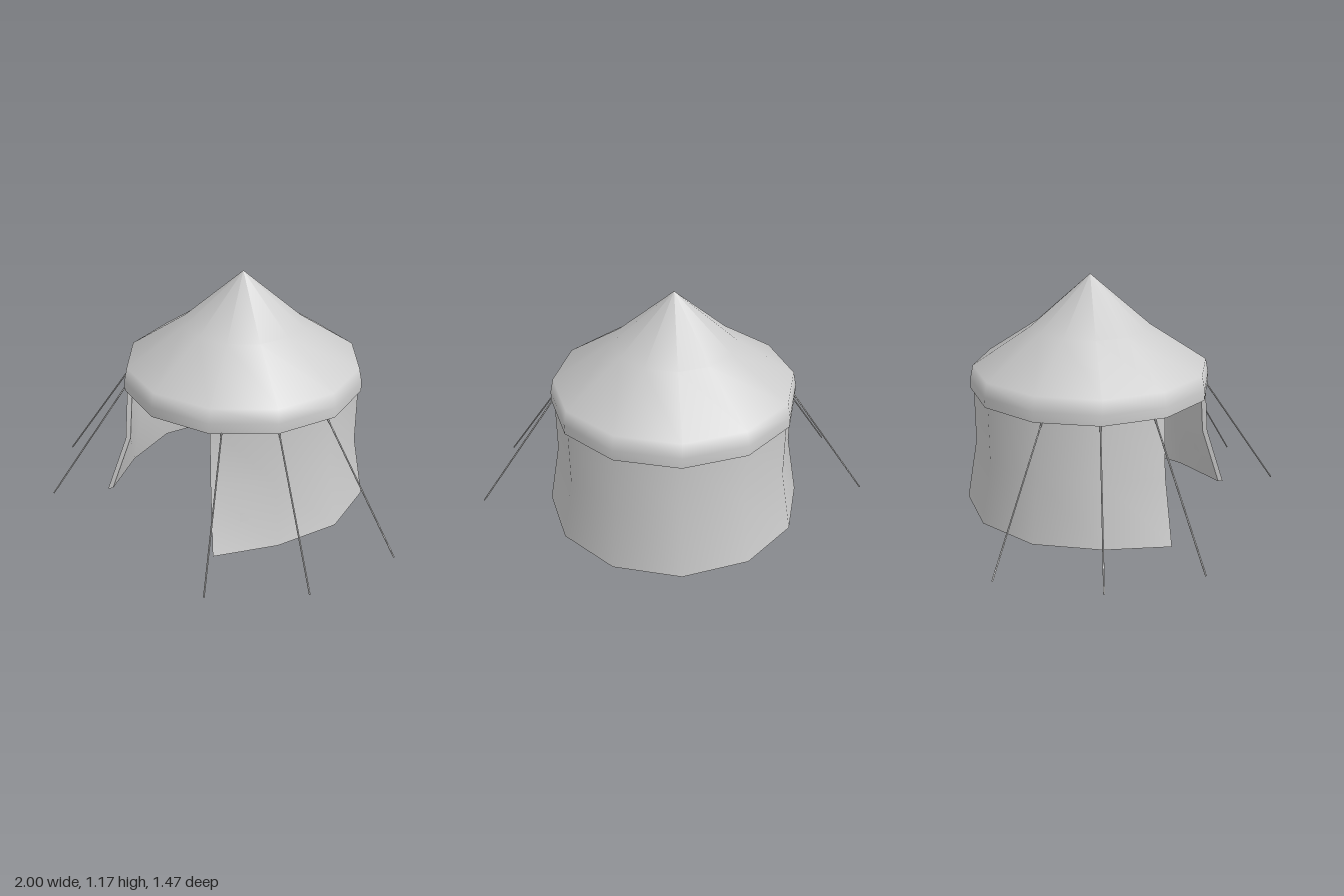
import * as THREE from 'three';
import { toCreasedNormals } from 'three/addons/utils/BufferGeometryUtils.js';

const SIDES = 12;
const CENTER_Z = -0.09;
const material = new THREE.MeshStandardMaterial({ color: 0xcccccc, side: THREE.DoubleSide });

function addMesh(parent, name, geometry) {
  const mesh = new THREE.Mesh(geometry, material);
  mesh.name = name;
  parent.add(mesh);
  return mesh;
}

// Thick canvas wall: one closed section per pole, with the door side left open.
function wallGeometry() {
  const thickness = 0.025;
  // height, radius, and radius / angle of the flared door edge
  const levels = [
    { y: 0.64, r: 0.59, doorR: 0.59, doorA: 30 },
    { y: 0.32, r: 0.59, doorR: 0.615, doorA: 30.8 },
    { y: 0.008, r: 0.645, doorR: 0.721, doorA: 33.7 },
  ];
  const loop = [
    ...levels.map((l) => ({ ...l, inset: 0 })),
    ...levels.slice().reverse().map((l) => ({ ...l, inset: thickness })),
  ];
  const n = loop.length;
  const positions = [];
  const indices = [];
  for (let j = 1; j < SIDES; j++) {
    const atDoor = j === 1 || j === SIDES - 1;
    for (const p of loop) {
      const degrees = atDoor ? (j === 1 ? p.doorA : 360 - p.doorA) : (j * 360) / SIDES;
      const a = THREE.MathUtils.degToRad(degrees);
      const r = (atDoor ? p.doorR : p.r) - p.inset;
      positions.push(r * Math.sin(a), p.y, r * Math.cos(a));
    }
  }
  const columns = SIDES - 1;
  for (let j = 0; j < columns - 1; j++) {
    for (let i = 0; i < n; i++) {
      const a = j * n + i;
      const b = j * n + ((i + 1) % n);
      indices.push(a, b, b + n, a, b + n, a + n);
    }
  }
  // Door edge caps
  const last = (columns - 1) * n;
  for (let i = 0; i < levels.length - 1; i++) {
    const k = n - 1 - i;
    indices.push(i, k, k - 1, i, k - 1, i + 1);
    indices.push(last + i, last + k - 1, last + k, last + i, last + i + 1, last + k - 1);
  }
  const geometry = new THREE.BufferGeometry();
  geometry.setAttribute('position', new THREE.Float32BufferAttribute(positions, 3));
  geometry.setIndex(indices);
  return toCreasedNormals(geometry, 0.75);
}

function ropeGeometry(from, to) {
  return new THREE.TubeGeometry(new THREE.LineCurve3(from, to), 1, 0.004, 6, false);
}

export function createModel() {
  const tent = new THREE.Group();
  tent.name = 'tent';

  // Roof with its hanging valance
  const profile = [
    [0.605, 0.6], [0.605, 0.65], [0.59, 0.72], [0.3, 0.91], [0, 1.17],
  ].map(([r, y]) => new THREE.Vector2(r, y));
  addMesh(tent, 'roof', new THREE.LatheGeometry(profile, SIDES)).position.z = CENTER_Z;

  addMesh(tent, 'wall', wallGeometry()).position.z = CENTER_Z;

  // Guy ropes, mirrored on both sides: eave x, z and ground x, z
  const ropes = [
    ['frontRope', 0.34, 0.39, 0.575, 0.732],
    ['middleRope', 0.515, 0.2, 0.892, 0.388],
    ['sideRope', 0.585, -0.055, 0.997, -0.094],
  ];
  for (const side of [1, -1]) {
    for (const [name, x0, z0, x1, z1] of ropes) {
      const top = new THREE.Vector3(side * x0, 0.605, z0);
      const peg = new THREE.Vector3(side * x1, 0.003, z1);
      addMesh(tent, name + (side > 0 ? 'Left' : 'Right'), ropeGeometry(top, peg));
    }
  }
  return tent;
}
